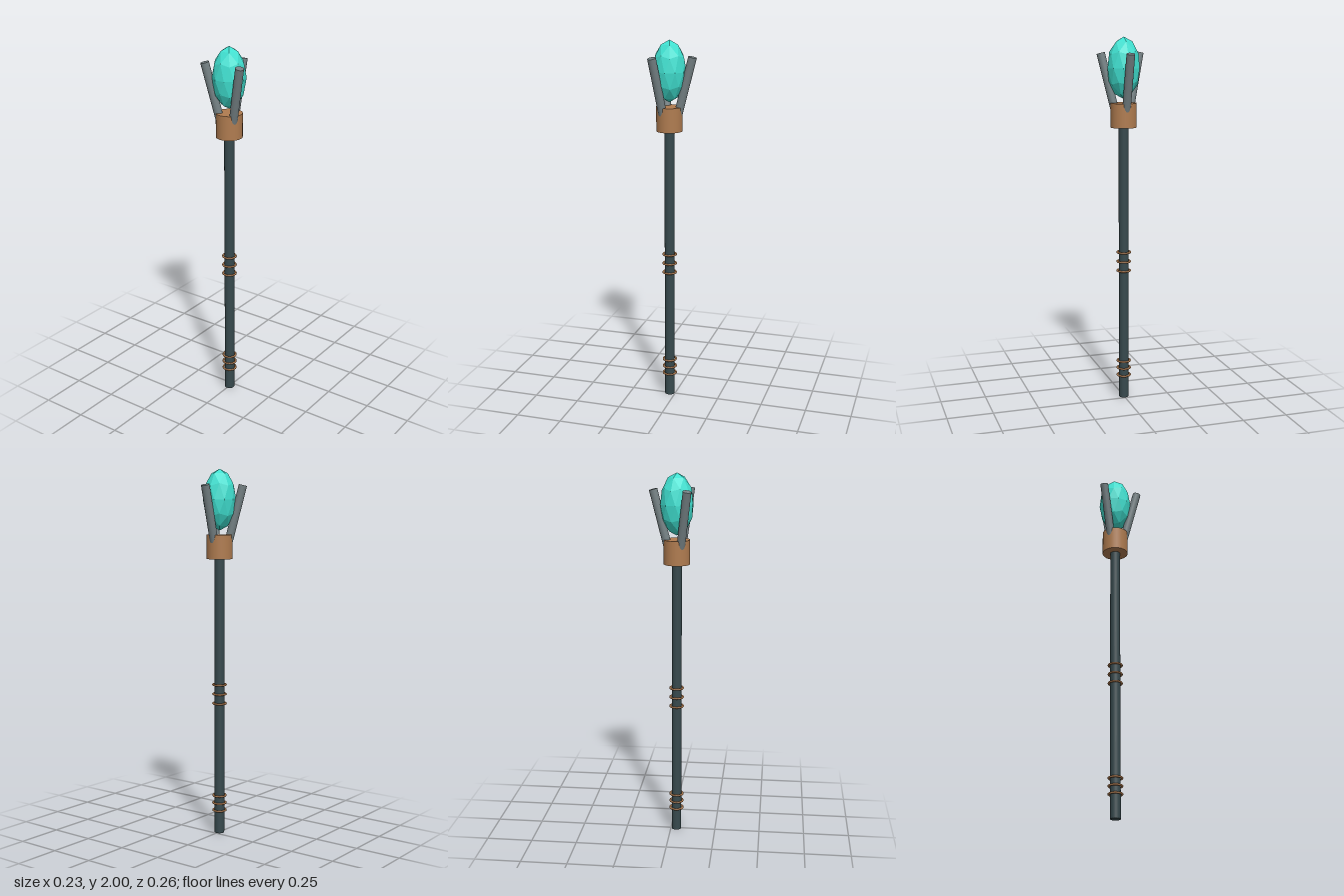
import * as THREE from 'three';

const AXIS_X = -0.031; // the staff sits slightly off centre so the three prongs balance

export function createModel() {
  const group = new THREE.Group();
  group.name = 'staff';

  const dark = new THREE.MeshStandardMaterial({ color: 0x37494d });
  const bronze = new THREE.MeshStandardMaterial({ color: 0xb07c50 });
  const steel = new THREE.MeshStandardMaterial({ color: 0x748083 });
  const gem = new THREE.MeshStandardMaterial({ color: 0x40e0d0, flatShading: true });

  const add = (name, geometry, material, y = 0, parent = group) => {
    const mesh = new THREE.Mesh(geometry, material);
    mesh.name = name;
    mesh.position.y = y;
    parent.add(mesh);
    return mesh;
  };

  const body = new THREE.Group();
  body.name = 'body';
  body.position.x = AXIS_X;
  group.add(body);

  // Shaft and the collar on top of it
  add('shaft', new THREE.CylinderGeometry(0.027, 0.027, 1.56, 24), dark, 0.78, body);
  add('collar', new THREE.CylinderGeometry(0.07, 0.07, 0.13, 32), bronze, 1.587, body);

  // Two sets of three thin grip rings
  const ringShape = new THREE.TorusGeometry(0.035, 0.0055, 10, 32).rotateX(Math.PI / 2);
  for (const y of [0.128, 0.17, 0.212, 0.732, 0.784, 0.836]) {
    add('gripRing', ringShape, bronze, y, body);
  }

  // Three prongs leaning outwards around the crystal
  const length = 0.36, tilt = 0.25;
  const prongShape = new THREE.CylinderGeometry(0.0225, 0.0225, length, 20)
    .translate(0, -length / 2, 0) // origin at the tip
    .rotateZ(-tilt)
    .translate(0.125, 1.914, 0);
  for (let i = 0; i < 3; i++) {
    add('prong', prongShape, steel, 0, body).rotation.y = (i * Math.PI * 2) / 3;
  }

  // Faceted crystal: icosphere with a corner at each pole, stretched upwards
  const crystalShape = new THREE.IcosahedronGeometry(1, 1)
    .rotateX(-Math.atan((1 + Math.sqrt(5)) / 2))
    .rotateY(Math.PI / 2)
    .scale(0.089, 0.163, 0.089);
  add('crystal', crystalShape, gem, 1.837, body);

  return group;
}
